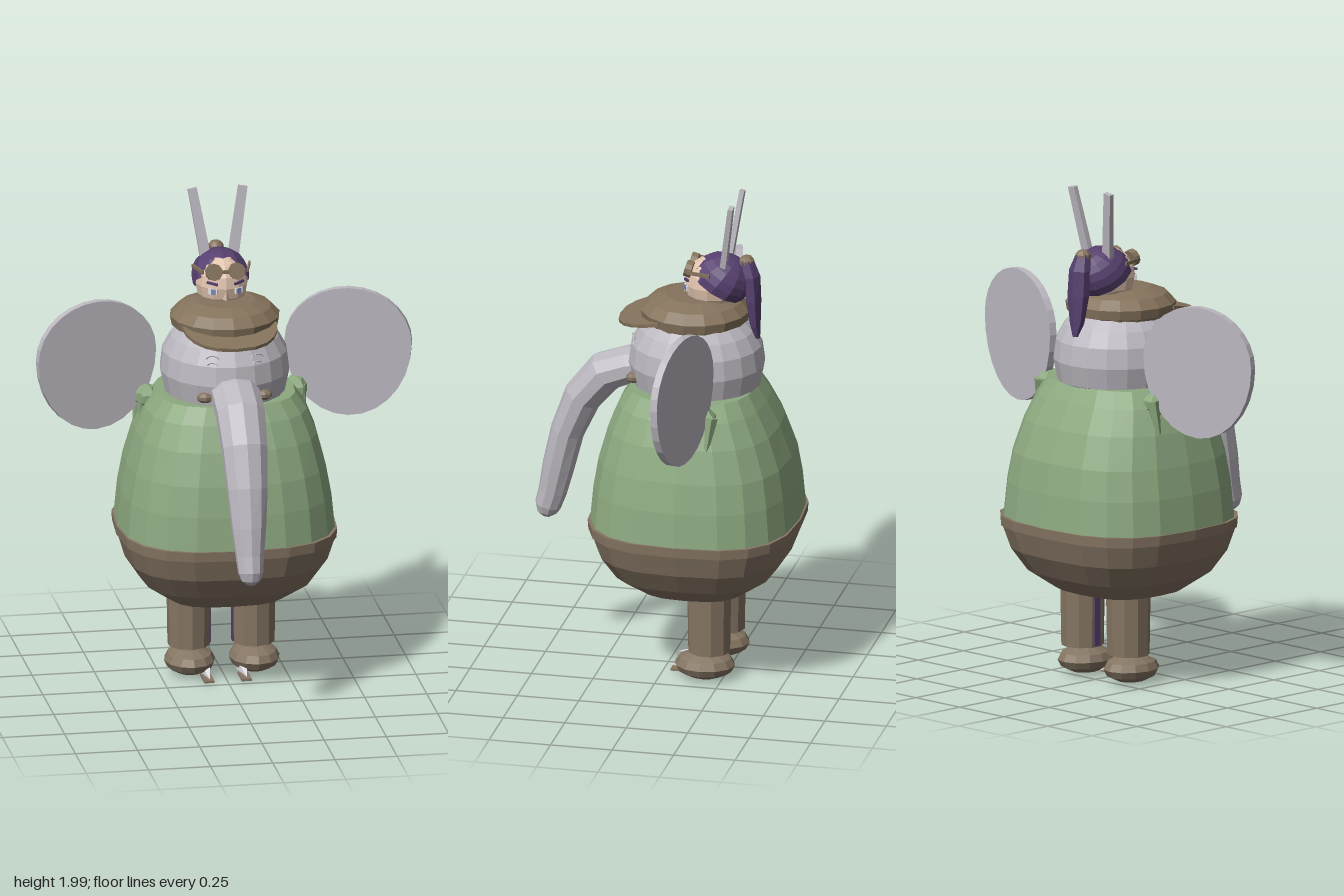
import * as THREE from 'three';

const mat = (name, color) => {
  const m = new THREE.MeshStandardMaterial({ color });
  m.name = name;
  return m;
};

// faceted normals
function facet(g) {
  const f = g.index ? g.toNonIndexed() : g;
  f.computeVertexNormals();
  return f;
}

// closed loft through rings [y, z, halfWidthX, halfDepth]; rings stay level when upright
function loft(rings, seg, { power = 2, upright = true } = {}) {
  const pos = [], idx = [], n = rings.length;
  const bend = (c) => Math.sign(c) * Math.pow(Math.abs(c), 2 / power);
  rings.forEach(([y, z, rx, rv], i) => {
    const a = rings[Math.max(i - 1, 0)], b = rings[Math.min(i + 1, n - 1)];
    let dy = 1, dz = 0;
    if (!upright) {
      const l = Math.hypot(b[0] - a[0], b[1] - a[1]);
      dy = (b[0] - a[0]) / l;
      dz = (b[1] - a[1]) / l;
    }
    for (let j = 0; j < seg; j++) {
      const t = (j / seg) * Math.PI * 2 + Math.PI / 2;
      const v = bend(Math.sin(t)) * rv;
      pos.push(bend(Math.cos(t)) * rx, y + v * dz, z - v * dy);
    }
  });
  for (let i = 0; i < n - 1; i++) for (let j = 0; j < seg; j++) {
    const k = (j + 1) % seg, a = i * seg, b = a + seg;
    idx.push(a + j, a + k, b + k, a + j, b + k, b + j);
  }
  const first = n * seg, last = first + 1;
  pos.push(0, rings[0][0], rings[0][1], 0, rings[n - 1][0], rings[n - 1][1]);
  for (let j = 0; j < seg; j++) {
    const k = (j + 1) % seg, b = (n - 1) * seg;
    idx.push(first, k, j, last, b + j, b + k);
  }
  const g = new THREE.BufferGeometry();
  g.setAttribute('position', new THREE.Float32BufferAttribute(pos, 3));
  g.setIndex(idx);
  return facet(g);
}

const ball = (rx, ry, rz, w = 10, h = 6) => facet(new THREE.SphereGeometry(1, w, h).scale(rx, ry, rz));

export function createModel() {
  const root = new THREE.Group();
  const grey = mat('elephant grey', 0xbcb8c0);
  const green = mat('shirt green', 0x8da980);
  const brown = mat('trouser brown', 0x857563);
  const hatBrown = mat('hat brown', 0x85735c);
  const skin = mat('skin', 0xe0c3ad);
  const purple = mat('hair purple', 0x56406f);
  const white = mat('eye white', 0xe4e2e8);
  const blue = mat('iris blue', 0x7b86b4);

  const add = (name, geo, m, x = 0, y = 0, z = 0, rx = 0, ry = 0, rz = 0) => {
    const o = new THREE.Mesh(geo, m);
    o.name = name;
    o.position.set(x, y, z);
    o.rotation.set(rx, ry, rz);
    root.add(o);
    return o;
  };

  // rounded-square belly, shirt above trousers
  add('trousers', loft([
    [0.365, -0.12, 0.235, 0.215], [0.44, -0.12, 0.34, 0.32], [0.53, -0.12, 0.4, 0.38],
    [0.62, -0.12, 0.428, 0.41], [0.66, -0.12, 0.434, 0.416],
  ], 20, { power: 2.88 }), brown);
  add('waistband', loft([[0.622, -0.12, 0.434, 0.416], [0.662, -0.12, 0.437, 0.419]], 20, { power: 2.88 }), brown);
  add('shirt', loft([
    [0.655, -0.12, 0.431, 0.413], [0.8, -0.12, 0.417, 0.4], [0.92, -0.12, 0.395, 0.38],
    [1.05, -0.115, 0.36, 0.338], [1.15, -0.11, 0.32, 0.29], [1.215, -0.11, 0.275, 0.25],
  ], 20, { power: 2.7 }), green);

  // elephant head, trunk
  add('elephantHead', loft([
    [1.19, -0.115, 0.2, 0.21], [1.215, -0.115, 0.24, 0.255], [1.3, -0.115, 0.258, 0.273],
    [1.38, -0.115, 0.248, 0.262], [1.44, -0.115, 0.215, 0.228], [1.48, -0.115, 0.175, 0.185],
  ], 20), grey);
  add('trunk', loft([
    [1.275, 0.06, 0.1, 0.075], [1.262, 0.15, 0.1, 0.075], [1.222, 0.255, 0.1, 0.083], [1.11, 0.348, 0.093, 0.077],
    [0.96, 0.41, 0.083, 0.068], [0.81, 0.446, 0.07, 0.065], [0.7, 0.47, 0.057, 0.058],
    [0.635, 0.49, 0.05, 0.053], [0.605, 0.495, 0.038, 0.04], [0.588, 0.498, 0.015, 0.017],
  ], 10, { upright: false }), grey);

  // cap
  add('cap', loft([
    [1.46, -0.11, 0.18, 0.185], [1.482, -0.11, 0.188, 0.19], [1.488, -0.11, 0.213, 0.214],
    [1.525, -0.11, 0.22, 0.22], [1.562, -0.11, 0.185, 0.185], [1.585, -0.11, 0.12, 0.12],
  ], 16), hatBrown);
  const peak = new THREE.Shape();
  for (let i = 0; i <= 10; i++) {
    const a = (i / 10) * Math.PI;
    const x = 0.19 * Math.sign(Math.cos(a)) * Math.abs(Math.cos(a)) ** 0.8, y = 0.2 * Math.sin(a);
    i ? peak.lineTo(x, y) : peak.moveTo(x, y);
  }
  add('capPeak', facet(new THREE.ExtrudeGeometry(peak, { depth: 0.014, bevelEnabled: false })),
    hatBrown, 0, 1.515, 0, Math.PI / 2 + 0.2);

  // wearer's head and hair
  add('face', ball(0.105, 0.115, 0.112, 12, 8), skin, 0, 1.635, -0.18);
  add('nose', facet(new THREE.ConeGeometry(0.014, 0.04, 4)), skin, 0, 1.612, -0.07, 0.3);
  add('hair', facet(new THREE.SphereGeometry(1, 12, 6, 0, Math.PI * 2, 0, 1.78)
    .rotateX(-0.6).scale(0.116, 0.112, 0.125)), purple, 0, 1.65, -0.212).material.side = THREE.DoubleSide;
  add('ponytail', loft([
    [1.415, -0.362, 0.012, 0.01], [1.47, -0.352, 0.035, 0.022], [1.58, -0.345, 0.052, 0.032],
    [1.68, -0.335, 0.05, 0.038], [1.745, -0.318, 0.03, 0.028],
  ], 6), purple);
  add('hairTie', ball(0.033, 0.03, 0.033, 8, 5), hatBrown, 0, 1.733, -0.318);
  add('goggleBridge', new THREE.BoxGeometry(0.04, 0.012, 0.012), hatBrown, 0, 1.702, -0.09);

  // flat rounded ear, wider above than below
  const earShape = new THREE.Shape();
  for (let i = 0; i < 28; i++) {
    const a = (i / 28) * Math.PI * 2, s = Math.sin(a);
    const x = 0.253 * Math.cos(a), y = s * (s > 0 ? 0.225 : 0.305);
    i ? earShape.lineTo(x, y) : earShape.moveTo(x, y);
  }
  const ear = new THREE.ExtrudeGeometry(earShape, { depth: 0.03, bevelEnabled: false }).translate(0, 0, -0.015);

  for (const s of [-1, 1]) {
    add('elephantEar', ear, grey, s * 0.507, 1.36, -0.17, 0, -s * 0.235);

    // tall strip ears on the hair
    const strip = facet(new THREE.CylinderGeometry(0.025, 0.03, 0.29, 4).rotateY(Math.PI / 4).scale(1, 1, 0.55));
    add('tallEar', strip, grey, s * 0.078, 1.855, -0.256, -0.15, 0, -s * 0.165);

    // elephant eye and mouth corner
    for (const [y, w] of [[1.412, 0.05], [1.385, 0.04]]) {
      add('eyeCrease', facet(new THREE.TorusGeometry(w / 2, 0.004, 4, 8, Math.PI).scale(1, 0.5, 1)),
        grey, s * 0.09, y, 0.122, -0.2, s * 0.35);
    }
    add('mouthCorner', ball(0.035, 0.022, 0.03, 8, 5), brown, s * 0.118, 1.252, 0.115);

    // shoulder stub with hanging points
    add('shoulder', ball(0.05, 0.05, 0.068, 6, 5), green, s * 0.3, 1.168, -0.2);
    for (const [x, z, h] of [[0.335, -0.235, 0.2], [0.325, -0.17, 0.13]]) {
      add('sleevePoint', facet(new THREE.ConeGeometry(0.028, h, 5)), green,
        s * x, 1.185 - h / 2, z, Math.PI - 0.1, 0, -s * 0.18);
    }

    // wearer's face and goggles
    add('eyeWhite', new THREE.BoxGeometry(0.036, 0.022, 0.008), white, s * 0.052, 1.625, -0.084, 0, s * 0.5);
    add('iris', new THREE.BoxGeometry(0.018, 0.022, 0.008), blue, s * 0.051, 1.625, -0.081, 0, s * 0.5);
    add('eyebrow', new THREE.BoxGeometry(0.045, 0.009, 0.009), purple, s * 0.054, 1.658, -0.085, 0, s * 0.5, s * 0.15);
    add('goggle', facet(new THREE.CylinderGeometry(0.034, 0.034, 0.028, 10)),
      hatBrown, s * 0.046, 1.702, -0.094, Math.PI / 2 - 0.25);
    add('goggleStrap', new THREE.BoxGeometry(0.008, 0.014, 0.1), hatBrown, s * 0.102, 1.702, -0.145, 0, s * -0.25);

    // legs, feet and small pointed shoes
    add('leg', loft([[0.125, -0.195, 0.085, 0.085], [0.42, -0.195, 0.09, 0.09]], 10), brown, s * 0.13);
    add('legStripe', new THREE.BoxGeometry(0.009, 0.22, 0.03), purple, s * 0.047, 0.24, -0.195);
    add('foot', ball(0.102, 0.057, 0.122, 12, 6), brown, s * 0.13, 0.067, -0.178);
    add('shoe', facet(new THREE.ConeGeometry(0.03, 0.13, 4).rotateY(Math.PI / 4).rotateX(Math.PI / 2).scale(1, 0.9, 1)),
      white, s * 0.075, 0.035, -0.085, 0.1);
    add('shoeSole', new THREE.BoxGeometry(0.04, 0.009, 0.1), brown, s * 0.075, 0.014, -0.08);
  }
  root.updateMatrixWorld(true);
  const low = new THREE.Box3().setFromObject(root).min.y;
  root.children.forEach((c) => { c.position.y -= low; });
  return root;
}
